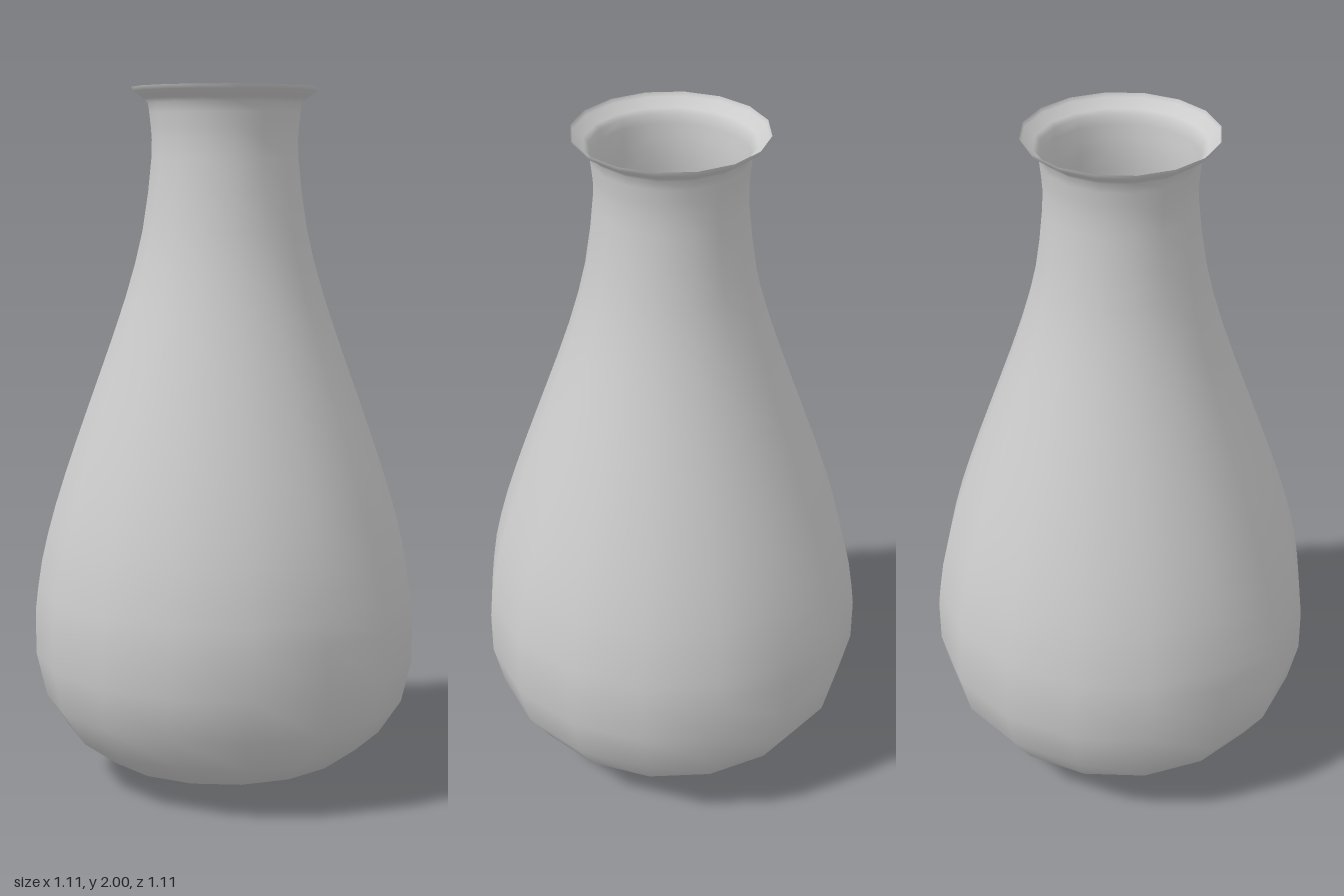
import * as THREE from 'three';

export function createModel() {
  const group = new THREE.Group();
  group.name = 'vase';
  const material = new THREE.MeshStandardMaterial({ color: 0xcccccc, side: THREE.DoubleSide });
  const toPoints = (list) => list.map(([r, y]) => new THREE.Vector2(r, y));

  // Coarse rounded base
  const base = toPoints([[0, 0], [0.2, 0.022], [0.36, 0.07], [0.462, 0.145], [0.528, 0.245], [0.557, 0.37]]);

  // Belly tapering into a slender neck
  const taper = new THREE.SplineCurve(toPoints([
    [0.557, 0.5], [0.537, 0.645], [0.495, 0.81], [0.432, 1.0], [0.36, 1.2],
    [0.287, 1.41], [0.237, 1.6], [0.211, 1.8], [0.212, 1.89], [0.22, 1.955],
  ])).getPoints(18);

  // Flared mouth
  const lip = toPoints([[0.232, 1.967], [0.262, 1.988], [0.266, 2.0]]);

  // Thin-walled body turned in sixteen sides
  const body = new THREE.Mesh(new THREE.LatheGeometry([...base, ...taper, ...lip], 16), material);
  body.name = 'vaseBody';
  group.add(body);
  return group;
}
